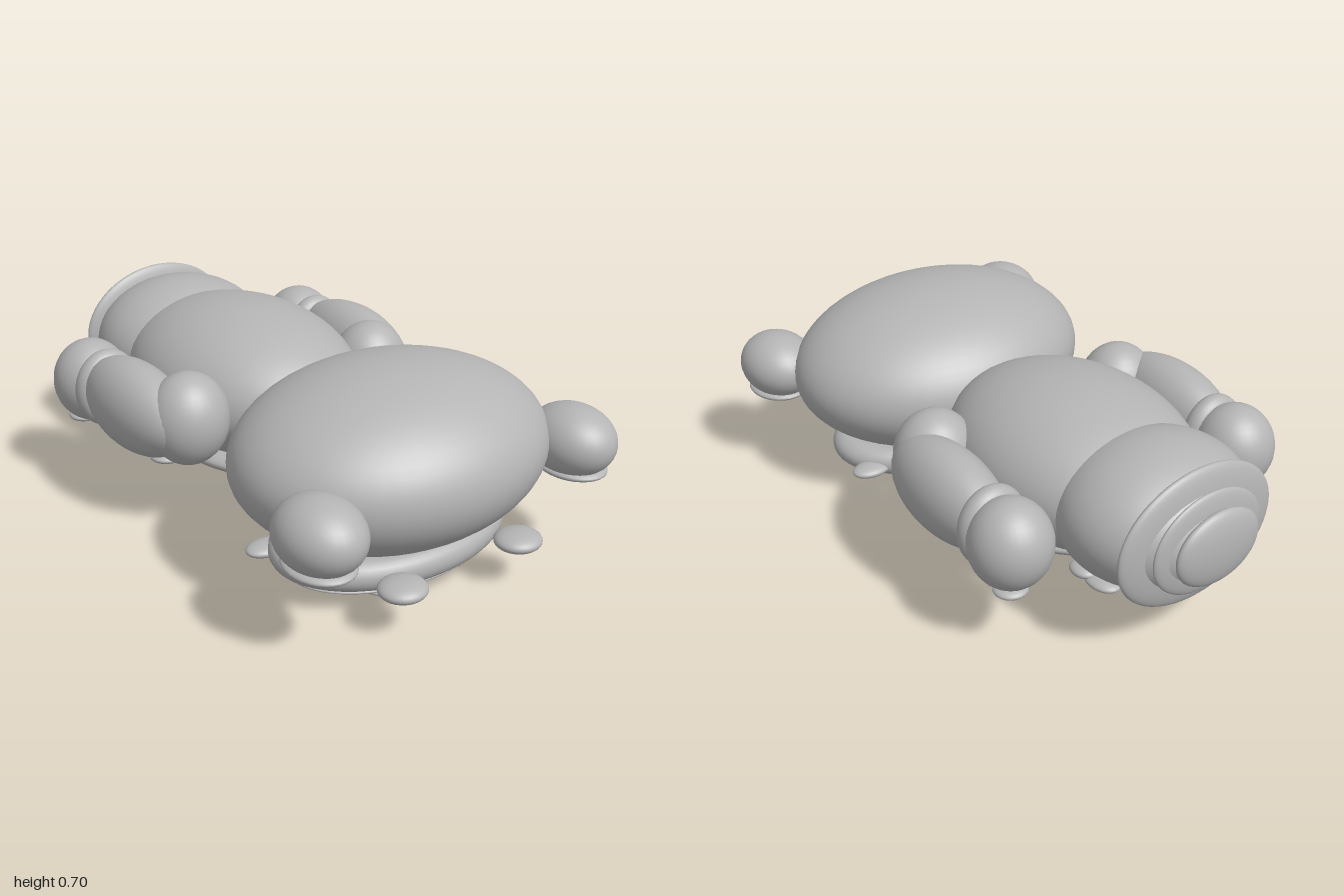
import * as THREE from 'three';

export function createModel() {
  const model = new THREE.Group();
  model.name = 'lyingFigure';

  const grey = new THREE.MeshStandardMaterial({ color: 0xb4b4b4 });
  grey.name = 'grey';

  const ball = new THREE.SphereGeometry(1, 48, 32);
  const smallBall = new THREE.SphereGeometry(1, 32, 20);

  function add(name, geometry, position, scale = [1, 1, 1], parent = model) {
    const mesh = new THREE.Mesh(geometry, grey);
    mesh.name = name;
    mesh.position.set(...position);
    mesh.scale.set(...scale);
    parent.add(mesh);
    return mesh;
  }
  const blob = (name, p, r) => add(name, r[0] > 0.15 ? ball : smallBall, p, r);

  // The same ellipsoid on both sides
  function pair(name, [x, y, z], r) {
    blob('left' + name, [x, y, z], r);
    blob('right' + name, [-x, y, z], r);
  }

  // Disc of radius 1 with a half-round rim, half thickness h
  function roundedDisc(h) {
    const pts = [new THREE.Vector2(0, -h)];
    for (let i = 0; i <= 12; i++) {
      const a = -Math.PI / 2 + (i / 12) * Math.PI;
      pts.push(new THREE.Vector2(1 - h + h * Math.cos(a), h * Math.sin(a)));
    }
    pts.push(new THREE.Vector2(0, h));
    return new THREE.LatheGeometry(pts, 48);
  }

  // Head
  blob('head', [0, 0.42, 0.545], [0.555, 0.285, 0.44]);
  pair('Ear', [0.512, 0.415, 0.84], [0.132, 0.116, 0.157]);
  pair('InnerEar', [0.517, 0.322, 0.845], [0.104, 0.026, 0.125]);

  // Face plates, eyes and small pads around the face
  add('faceRim', roundedDisc(0.15), [0, 0.13, 0.55], [0.44, 0.34, 0.287]);
  blob('facePlate', [0, 0.07, 0.556], [0.39, 0.03, 0.245]);
  pair('Eye', [0.147, 0.026, 0.577], [0.072, 0.022, 0.17]);
  pair('BrowPad', [0.24, 0.16, 0.895], [0.08, 0.031, 0.075]);
  pair('CheekPad', [0.39, 0.123, 0.41], [0.073, 0.022, 0.05]);

  // Nose: two crossed pegs with a block in the middle
  const nose = new THREE.Group();
  nose.name = 'nose';
  nose.position.set(0, 0.019, 0.365);
  model.add(nose);
  const peg = new THREE.CylinderGeometry(0.016, 0.016, 1, 20);
  add('nosePegAcross', peg, [0, 0, 0], [1, 0.11, 1], nose).rotation.z = Math.PI / 2;
  add('nosePegAlong', peg, [0, 0, 0], [1, 0.09, 1], nose).rotation.x = Math.PI / 2;
  add('noseBlock', new THREE.BoxGeometry(0.04, 0.034, 0.03), [0, 0.002, 0], [1, 1, 1], nose);

  // Torso, belly and navel rings
  blob('torso', [0, 0.4, -0.27], [0.375, 0.262, 0.5]);
  blob('belly', [0, 0.185, -0.2], [0.3, 0.067, 0.365]);
  blob('navelOuter', [0, 0.118, -0.175], [0.115, 0.034, 0.115]);
  blob('navelMiddle', [0, 0.092, -0.178], [0.078, 0.018, 0.078]);
  blob('navelInner', [0, 0.076, -0.18], [0.045, 0.014, 0.045]);
  blob('navelKnob', [0, 0.066, -0.185], [0.022, 0.01, 0.022]);

  // Hips and stepped rear rings
  blob('hips', [0, 0.405, -0.68], [0.327, 0.233, 0.3]);
  blob('rearRingLarge', [0, 0.402, -0.866], [0.308, 0.238, 0.044]);
  blob('rearRingMiddle', [0, 0.405, -0.918], [0.215, 0.176, 0.03]);
  blob('rearRingSmall', [0, 0.41, -0.962], [0.164, 0.128, 0.038]);
  pair('HipPad', [0.22, 0.225, -0.7], [0.05, 0.02, 0.07]);
  pair('HipPadSmall', [0.245, 0.24, -0.635], [0.04, 0.02, 0.05]);

  // Limbs
  pair('Shoulder', [0.39, 0.41, -0.03], [0.142, 0.162, 0.136]);
  pair('Arm', [0.47, 0.403, -0.23], [0.127, 0.158, 0.28]);
  pair('Hand', [0.465, 0.388, -0.555], [0.136, 0.15, 0.137]);
  pair('ElbowPad', [0.43, 0.252, -0.11], [0.06, 0.02, 0.057]);
  pair('HandPad', [0.487, 0.245, -0.585], [0.057, 0.019, 0.055]);
  const cuff = roundedDisc(0.3);
  for (const side of [1, -1]) {
    const mesh = add(side > 0 ? 'leftCuff' : 'rightCuff', cuff, [side * 0.46, 0.392, -0.45], [0.122, 0.135, 0.142]);
    mesh.rotation.x = Math.PI / 2;
  }

  return model;
}
